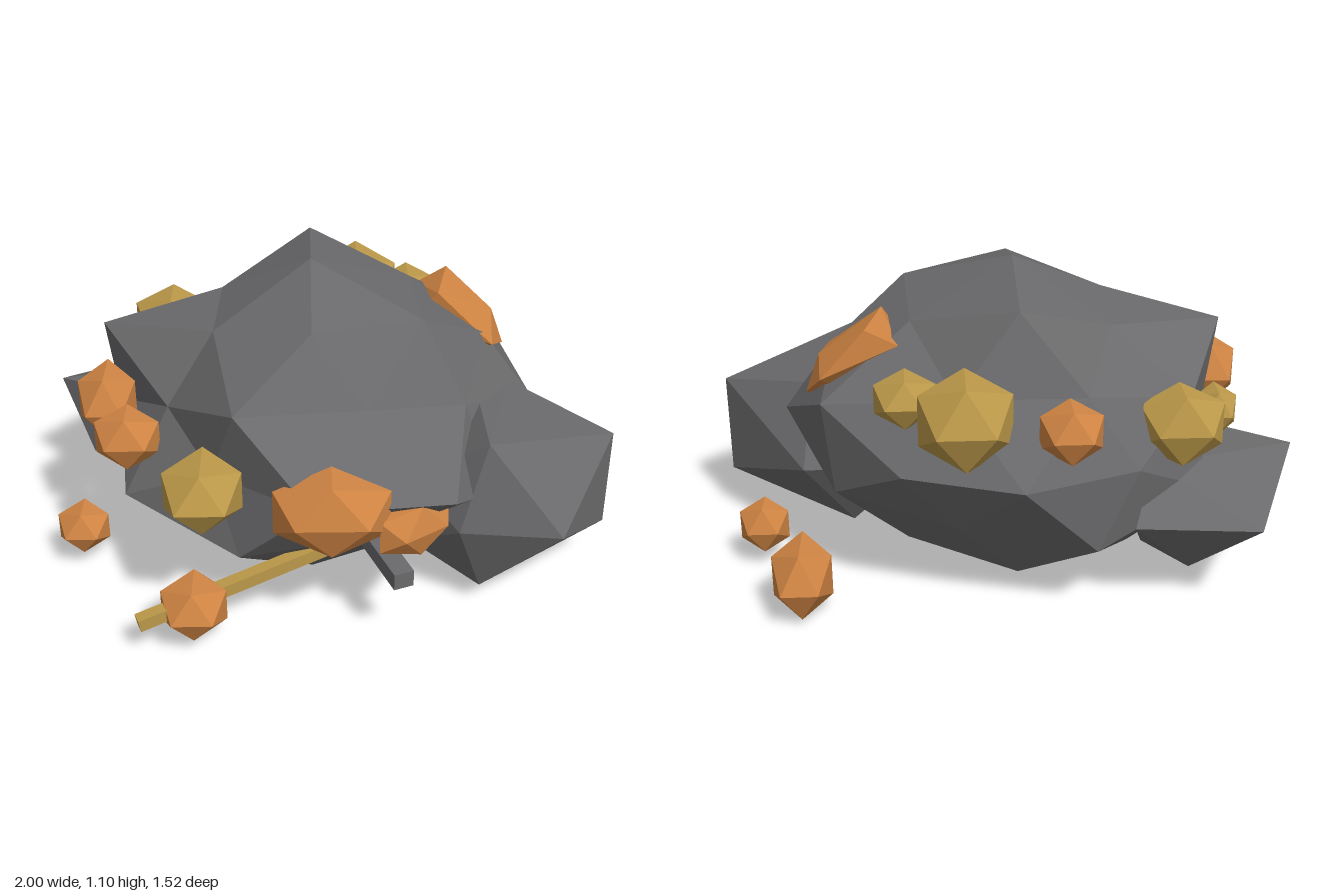
import * as THREE from 'three';
import { ConvexGeometry } from 'three/addons/geometries/ConvexGeometry.js';

export function createModel() {
  const group = new THREE.Group();
  const material = (name, color) => {
    const m = new THREE.MeshStandardMaterial({ color });
    m.name = name;
    return m;
  };
  const stone = material('stone grey', 0x6a6a6c);
  const copper = material('copper orange', 0xcf8443);
  const gold = material('dull gold', 0xbb9849);

  const add = (name, geometry, mat) => {
    const flat = geometry.index ? geometry.toNonIndexed() : geometry;
    flat.computeVertexNormals();
    const mesh = new THREE.Mesh(flat, mat);
    mesh.name = name;
    group.add(mesh);
    return mesh;
  };
  const V = (x, y, z) => new THREE.Vector3(x, y, z);

  // Main boulder: subdivided icosahedron with dents and bulges [direction, radial factor]
  const bumps = [
    [0, 0.851, 0.526, 0.97], [0, 0.851, -0.526, 1.05], [-0.851, 0.526, 0, 1.07],
    [0.526, 0, 0.851, 1.1], [-0.526, 0, 0.851, 0.8], [0, 0, -1, 0.96],
    [-0.309, 0.5, 0.809, 1.02], [-0.809, 0.309, 0.5, 0.76], [0.309, 0.5, 0.809, 0.75],
    [0.809, 0.309, 0.5, 0.81], [-0.5, 0.809, 0.309, 0.83], [0.5, 0.809, 0.309, 0.94],
    [0.5, 0.809, -0.309, 0.88], [-0.309, 0.5, -0.809, 0.87], [0.309, 0.5, -0.809, 0.84],
    [0.526, 0, -0.851, 0.92], [-0.526, 0, -0.851, 0.9], [-0.809, 0.309, -0.5, 0.9],
    [-0.5, 0.809, -0.309, 0.8], [0.851, 0.526, 0, 0.9], [-1, 0, 0, 0.86],
    [-0.851, -0.526, 0, 0.93], [0.309, -0.5, 0.809, 0.88], [0.309, -0.5, -0.809, 0.84],
    [0.851, -0.526, 0, 0.93], [0.809, -0.309, -0.5, 0.95], [0.5, -0.809, -0.309, 0.94],
  ];
  const boulder = new THREE.IcosahedronGeometry(1, 1).rotateY(Math.PI / 2);
  const pos = boulder.attributes.position;
  const p = V(0, 0, 0);
  for (let i = 0; i < pos.count; i++) {
    p.fromBufferAttribute(pos, i);
    const bump = bumps.find(b => p.distanceTo(V(b[0], b[1], b[2])) < 0.1);
    p.multiplyScalar(bump ? bump[3] : 1);
    pos.setXYZ(i, p.x * 0.8 - 0.05, p.y * 0.55 + 0.55, p.z * 0.74 - 0.05);
  }
  add('mainBoulder', boulder, stone);

  // Two smaller rocks leaning on the boulder
  const hull = (name, mat, points) => add(name, new ConvexGeometry(points.map(q => V(...q))), mat);
  hull('leftRock', stone, [
    [1, 0.55, 0.22], [1, 0.18, 0.22], [0.78, 0.37, 0.59], [0.69, 0.36, -0.18],
    [0.53, 0.67, 0.48], [0.53, 0.65, 0.05], [0.66, 0.63, -0.02], [0.53, 0.08, 0.46],
    [0.53, 0.08, -0.03], [0.44, 0.36, 0.54], [0.3, 0.36, -0.18], [0.28, 0.46, 0.33],
    [0.28, 0.19, 0.33],
  ]);
  hull('rightRearRock', stone, [
    [-1, 0.49, -0.31], [-0.83, 0.35, -0.68], [-0.42, 0.35, -0.64], [-0.9, 0.18, -0.28],
    [-0.63, 0.12, -0.5], [-0.5, 0.1, -0.28], [-0.5, 0.49, -0.45], [-0.7, 0.51, -0.15],
  ]);

  // Ore nuggets: [centre x, y, z, half sizes x, y, z, turn about y]
  const nuggets = (name, mat, list) => list.forEach(([x, y, z, a, b, c, turn = 0], i) => {
    const g = new THREE.IcosahedronGeometry(1 / 0.851, 0).rotateY(Math.PI / 2);
    add(name + (i + 1), g.scale(a, b, c).rotateY(turn).translate(x, y, z), mat);
  });
  nuggets('copperNugget', copper, [
    [0.01, 0.53, 0.65, 0.19, 0.13, 0.11], [0.28, 0.45, 0.61, 0.14, 0.095, 0.07, 0.6],
    [-0.77, 0.62, 0.07, 0.1, 0.115, 0.13], [-0.68, 0.59, 0.28, 0.11, 0.095, 0.095],
    [-0.88, 0.15, 0.18, 0.09, 0.08, 0.09], [-0.45, 0.15, 0.64, 0.11, 0.095, 0.115],
    [0.68, 0.14, -0.52, 0.1, 0.12, 0.14], [0.84, 0.15, -0.18, 0.085, 0.085, 0.08],
    [-0.2, 0.71, -0.65, 0.1, 0.09, 0.095],
  ]);
  nuggets('goldNugget', gold, [
    [0.13, 0.74, -0.61, 0.15, 0.14, 0.15], [0.32, 0.77, -0.5, 0.1, 0.08, 0.1],
    [-0.58, 0.65, -0.48, 0.14, 0.12, 0.11], [-0.73, 0.62, -0.3, 0.07, 0.08, 0.08],
    [-0.41, 0.55, 0.55, 0.13, 0.11, 0.15],
  ]);
  // Broad nugget lying on the boulder's upper left slope
  hull('copperSlab', copper, [
    [0.4, 0.94, -0.1], [0.45, 0.94, -0.33], [0.61, 0.82, -0.22], [0.66, 0.68, -0.22],
    [0.59, 0.78, -0.01], [0.6, 0.78, -0.36], [0.33, 0.85, -0.13], [0.34, 0.88, -0.32],
    [0.48, 0.66, -0.2],
  ]);

  // Pick stuck under the boulder: slim square handle and a bar-shaped head across it
  const start = V(-0.63, 0.14, 0.72), end = V(0.14, 0.285, 0.41);
  const handle = add('pickHandle', new THREE.BoxGeometry(0.045, 0.045, start.distanceTo(end)), gold);
  handle.position.copy(start).lerp(end, 0.5);
  handle.lookAt(end);
  const head = add('pickHead', new THREE.BoxGeometry(0.07, 0.06, 0.6), stone);
  head.position.set(0.137, 0.29, 0.42);
  head.rotation.y = 0.37;

  return group;
}
